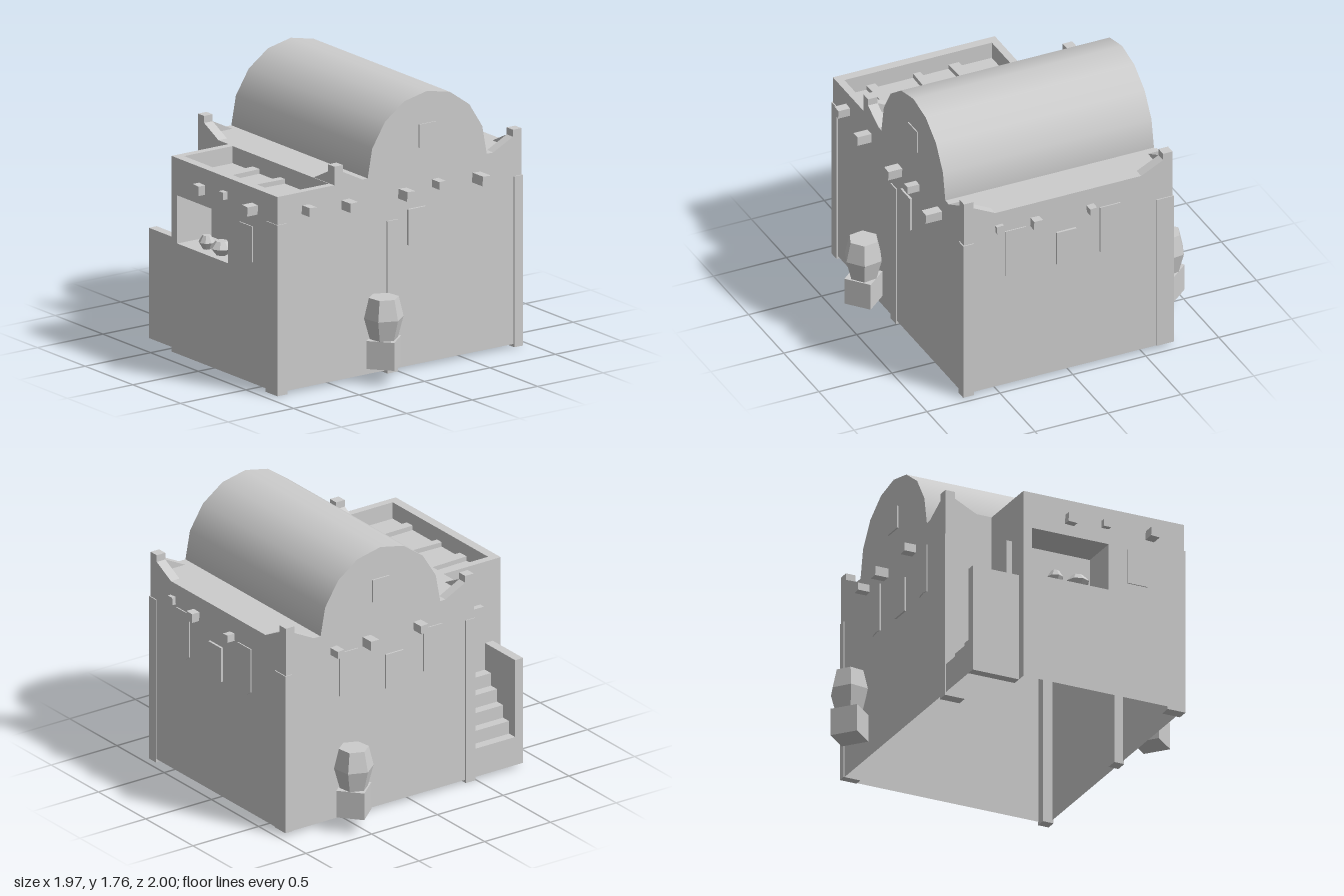
import * as THREE from 'three';

const plaster = new THREE.MeshStandardMaterial({ color: 0xcccccc, side: THREE.DoubleSide });
plaster.name = 'plaster';

// Main outline: left/right walls, back wall, inner front, room front, roof height
const XL = -0.71, XR = 0.72, ZB = -0.945, ZM = 0.485, ZF = 0.92, XS = -0.39, ROOF = 1.28, BASE = 0.02;
const VZ = -0.225, VR = 0.455, VH = 0.485;

export function createModel() {
  const model = new THREE.Group();
  model.name = 'vaultedHouse';

  const add = (name, geometry, x = 0, y = 0, z = 0) => {
    const mesh = new THREE.Mesh(geometry, plaster);
    mesh.name = name;
    mesh.position.set(x, y, z);
    model.add(mesh);
    return mesh;
  };
  // Box given by its limits on each axis
  const box = (name, x0, x1, y0, y1, z0, z1) =>
    add(name, new THREE.BoxGeometry(x1 - x0, y1 - y0, z1 - z0), (x0 + x1) / 2, (y0 + y1) / 2, (z0 + z1) / 2);
  const shapeOf = pts => new THREE.Shape(pts.map(p => new THREE.Vector2(p[0], p[1])));
  const rect = (a0, a1, b0, b1) => [[a0, b0], [a1, b0], [a1, b1], [a0, b1]];
  // Flat walls facing z, facing x (points are z, y) and level floors (points are x, z)
  const wallZ = (name, z, pts) => add(name, new THREE.ShapeGeometry(shapeOf(pts)), 0, 0, z);
  const wallX = (name, x, pts) => {
    const g = new THREE.ShapeGeometry(shapeOf(pts.map(p => [-p[0], p[1]])));
    return add(name, g.rotateY(Math.PI / 2), x);
  };
  const floor = (name, y, x0, x1, z0, z1) =>
    add(name, new THREE.PlaneGeometry(x1 - x0, z1 - z0).rotateX(-Math.PI / 2), (x0 + x1) / 2, y, (z0 + z1) / 2);

  // Side walls with the vault gable in one outline
  const gable = [];
  for (let i = 0; i <= 8; i++) {
    const a = (i / 8) * Math.PI;
    gable.push([VZ + VR * Math.cos(a), ROOF + VH * Math.sin(a)]);
  }
  const side = front => [[ZB, BASE], [front, BASE], [front, ROOF], ...gable, [ZB, ROOF]];
  wallX('leftSideWall', XR, side(ZF));
  wallX('rightSideWall', XL, side(ZM));

  // Back wall, wall over the stair and return wall of the front room
  wallZ('backWall', ZB, rect(XL, XR, BASE, ROOF));
  wallZ('stairBackWall', ZM, rect(XL, XS, 0.21, ROOF));
  wallX('roomReturnWall', XS, rect(ZM, ZF, 0.55, ROOF));
  wallX('roomReturnBase', XS, rect(0.8, ZF, BASE, 0.55));

  // Front wall with the niche opening
  const front = shapeOf(rect(XS, XR, BASE, ROOF));
  front.holes.push(new THREE.Path(rect(-0.33, 0.2, 0.73, 1.04).map(p => new THREE.Vector2(p[0], p[1]))));
  add('frontWall', new THREE.ShapeGeometry(front), 0, 0, ZF);
  const NZ = 0.66;
  wallZ('nicheBack', NZ, rect(-0.33, 0.2, 0.73, 1.04));
  for (const x of [-0.33, 0.2]) wallX('nicheSide', x, rect(NZ, ZF, 0.73, 1.04));
  for (const y of [0.73, 1.04]) floor('nicheLevel', y, -0.33, 0.2, NZ, ZF);
  floor('landing', 0.55, XS, 0.2, ZM, 0.8);

  // Barrel vault and the flat roofs on either side
  const vault = new THREE.CylinderGeometry(VR, VR, XR - XL, 8, 1, true, 0, Math.PI);
  vault.rotateZ(Math.PI / 2).scale(1, VH / VR, 1);
  add('barrelVault', vault, (XL + XR) / 2, ROOF, VZ);
  floor('frontFlatRoof', ROOF, XL, XR, VZ + VR, ZM);
  floor('backFlatRoof', ROOF, XL, XR, ZB, VZ - VR);

  // Sunken terrace on the front room, with roof beams
  const rim = shapeOf(rect(XS, XR, -ZF, -ZM));
  rim.holes.push(new THREE.Path(rect(-0.34, 0.67, -0.86, -0.49).map(p => new THREE.Vector2(p[0], p[1]))));
  add('terraceRim', new THREE.ExtrudeGeometry(rim, { depth: 0.11, bevelEnabled: false }).rotateX(-Math.PI / 2), 0, 1.17, 0);
  floor('terraceFloor', 1.17, XS, XR, ZM, ZF);
  [[-0.085, 0.07, 0.04], [0.18, 0.05, -0.03], [0.485, 0.06, 0.02]].forEach(([x, w, turn]) => {
    box('terraceBeam', x - w / 2, x + w / 2, 1.165, 1.2, 0.49, 0.86).rotation.y = turn;
  });

  // Stepped corner posts with ramps along both walls
  const ramp = shapeOf([[0, 0], [0.215, 0], [0.065, 0.075], [0.065, 0.12], [0, 0.12]]);
  for (const [x, sx] of [[XL, 1], [XR, -1]]) {
    for (const [z, sz] of [[ZM, -1], [ZB, 1]]) {
      for (const alongX of [true, false]) {
        const g = new THREE.ExtrudeGeometry(ramp, { depth: 0.065, bevelEnabled: false });
        if (!alongX) g.rotateY(-Math.PI / 2).translate(0.065, 0, 0);
        const turn = sx * sz < 0;
        // Mirror by moving vertices, then restore corner order
        g.scale(sx, 1, sz);
        if (turn) {
          const p = g.attributes.position;
          const v = new THREE.Vector3(), w = new THREE.Vector3();
          for (let i = 0; i < p.count; i += 3) {
            v.fromBufferAttribute(p, i);
            w.fromBufferAttribute(p, i + 1);
            p.setXYZ(i, w.x, w.y, w.z);
            p.setXYZ(i + 1, v.x, v.y, v.z);
          }
        }
        g.computeVertexNormals();
        add('parapetCorner', g, x, ROOF, z);
      }
    }
  }

  // Stair rising to the room, with its outer wall
  box('stairWall', XL, XS, BASE, 0.73, 0.8, 0.86);
  for (let i = 0; i < 5; i++) {
    const x = XL + i * 0.064;
    const y = 0.21 + i * 0.085;
    wallX('stairRiser', x, rect(ZM, 0.8, i ? y - 0.085 : BASE, y));
    floor('stairTread', y, x, x + 0.064, ZM, 0.8);
  }
  box('stairDoor', -0.43, XS, 0.58, 1.0, 0.56, 0.765);

  // Shallow buttresses on corners and sides
  box('frontButtress', 0.605, 0.728, 0, 1.1, 0.85, 0.926);
  box('sideButtress', 0.66, 0.728, 0, 0.98, 0.005, 0.085);
  box('backButtress', 0.655, 0.728, 0, 1.1, -0.952, -0.885);
  box('backButtress', -0.716, -0.6, 0.02, 1.08, -0.952, -0.9);
  box('stairButtress', -0.716, -0.58, 0, 1.1, 0.42, 0.492);

  // Raised window panels
  box('frontWindow', 0.33, 0.465, 0.8, 1.03, 0.91, 0.928);
  box('leftWindow', 0.71, 0.735, 0.8, 1.03, -0.205, -0.07);
  box('rightWindow', -0.722, -0.7, 0.8, 1.03, -0.19, -0.055);
  box('backWindow', -0.045, 0.09, 0.8, 1.03, -0.96, -0.94);
  box('leftGableWindow', 0.71, 0.727, 1.41, 1.56, -0.29, -0.16);
  box('rightGableWindow', -0.72, -0.7, 1.41, 1.56, -0.29, -0.16);

  // Hanging cloths with a wavy lower edge
  const cloth = shapeOf([[-0.07, 0.32], [-0.07, 0.03], [-0.03, 0], [0.02, 0.01], [0.07, 0], [0.07, 0.32]]);
  const clothGeo = () => new THREE.ExtrudeGeometry(cloth, { depth: 0.008, bevelEnabled: false });
  for (const x of [0.37, -0.28]) add('backCloth', clothGeo(), x, 0.81, ZB - 0.009);
  for (const z of [-0.47, 0.17]) add('sideCloth', clothGeo().rotateY(-Math.PI / 2), XL - 0.001, 0.81, z);

  // Projecting beam ends: [position along wall, height, reach, size]
  const pegs = {
    front: [[-0.07, 1.145, 0.97, 0.062], [0.175, 1.165, 0.955, 0.048], [0.485, 1.15, 1.0, 0.06]],
    back: [[-0.145, 1.145, 1.0, 0.048], [0.235, 1.15, 1.0, 0.06], [0.48, 1.165, 0.97, 0.05]],
    left: [[0.705, 1.165, 0.8, 0.056], [0.4, 1.145, 0.815, 0.06], [-0.035, 1.14, 0.815, 0.062],
      [-0.285, 1.165, 0.8, 0.05], [-0.6, 1.145, 0.83, 0.062]],
    right: [[-0.58, 1.16, 0.79, 0.05], [-0.33, 1.16, 0.8, 0.062], [0.055, 1.165, 0.79, 0.056]],
  };
  for (const [where, list] of Object.entries(pegs)) {
    list.forEach(([along, y, reach, s], i) => {
      const onZ = where === 'front' || where === 'back';
      const sign = where === 'front' || where === 'left' ? 1 : -1;
      const inner = where === 'front' ? 0.89 : where === 'back' ? 0.92 : 0.69;
      const d = reach - inner, c = sign * (reach + inner) / 2;
      const peg = add(where + 'BeamEnd', new THREE.BoxGeometry(onZ ? s : d, s, onZ ? d : s),
        onZ ? along : c, y, onZ ? c : along);
      peg.rotation[onZ ? 'z' : 'x'] = (i % 2 ? 0.02 : -0.06);
    });
  }

  // Faceted turned vessels
  const vessel = (profile, sides) => {
    const g = new THREE.LatheGeometry(profile.map(p => new THREE.Vector2(p[0], p[1])), sides).toNonIndexed();
    g.computeVertexNormals();
    return g;
  };
  const jar = [[0, 0], [0.09, 0], [0.126, 0.135], [0.095, 0.265], [0, 0.265]];
  for (const [x, z, turn] of [[-0.86, -0.535, 0.14], [0.855, 0.205, 0.14]]) {
    add('jarStand', new THREE.BoxGeometry(0.178, 0.18, 0.178), x, 0.19, z).rotation.y = 0.7;
    add('jar', vessel(jar, 6), x, 0.28, z).rotation.y = turn + Math.PI / 6;
  }
  for (const [x, r] of [[-0.13, 0.052], [0.025, 0.074]]) {
    add('nicheBowl', vessel([[0, 0], [r * 0.5, 0], [r, 0.045], [r * 0.5, 0.088], [0, 0.088]], 8), x, 0.731, 0.84);
  }

  return model;
}
